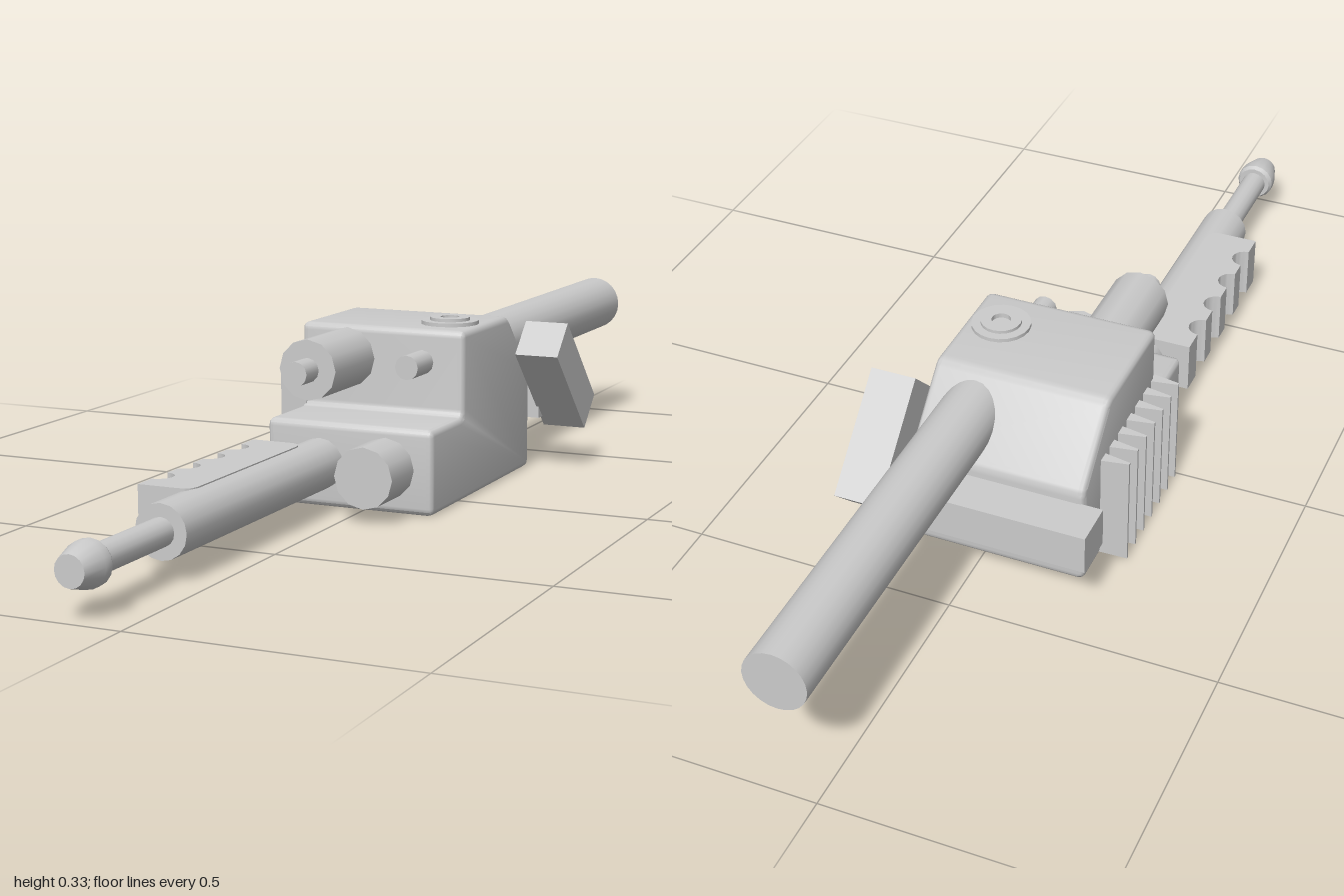
import * as THREE from 'three';
import { toCreasedNormals } from 'three/addons/utils/BufferGeometryUtils.js';

const grey = new THREE.MeshStandardMaterial({ color: 0xcccccc });

export function createModel() {
  const model = new THREE.Group();

  const add = (name, geometry, x = 0, y = 0, z = 0) => {
    const mesh = new THREE.Mesh(geometry, grey);
    mesh.name = name;
    mesh.position.set(x, y, z);
    model.add(mesh);
    return mesh;
  };

  // Cylinder running along z between two depths
  const rod = (name, x, y, z0, z1, r, sides = 12) => {
    const g = new THREE.CylinderGeometry(r, r, z1 - z0, sides);
    g.rotateX(Math.PI / 2);
    return add(name, g, x, y, (z0 + z1) / 2);
  };

  // Closed polygon with every corner rounded
  const roundedShape = (points, radius) => {
    const p = points.map(([a, b]) => new THREE.Vector2(a, b));
    const shape = new THREE.Shape();
    p.forEach((c, i) => {
      const prev = p[(i + p.length - 1) % p.length], next = p[(i + 1) % p.length];
      const a = c.clone().add(prev.clone().sub(c).setLength(radius));
      const b = c.clone().add(next.clone().sub(c).setLength(radius));
      if (i) shape.lineTo(a.x, a.y); else shape.moveTo(a.x, a.y);
      shape.quadraticCurveTo(c.x, c.y, b.x, b.y);
    });
    shape.closePath();
    return shape;
  };

  // Stepped housing: side profile (z, y) extruded across x with soft edges
  const bevel = 0.012;
  const profile = roundedShape([
    [0.148, 0], [0.148, 0.16], [0, 0.16], [0, 0.321], [-0.232, 0.321], [-0.352, 0.2], [-0.352, 0],
  ], 0.014);
  const housing = new THREE.ExtrudeGeometry(profile, {
    depth: 0.334 - 2 * bevel, bevelSize: bevel, bevelThickness: bevel,
    bevelOffset: -bevel, bevelSegments: 3, curveSegments: 4,
  });
  housing.rotateY(-Math.PI / 2);
  add('housing', toCreasedNormals(housing, 0.6), 0.139 - bevel, 0, 0);

  // Long rear tube
  rod('rearTube', 0.055, 0.248, -1, -0.15, 0.057, 24);

  // Knobs and pins on the front faces
  rod('upperKnob', -0.1, 0.259, -0.02, 0.17, 0.057);
  rod('upperKnobPin', -0.1, 0.259, 0.16, 0.22, 0.023);
  rod('frontPin', 0.055, 0.259, -0.02, 0.073, 0.023);
  rod('lowerKnob', 0.046, 0.084, 0.13, 0.245, 0.057);

  // Front arm with a slim rod and flared nozzle
  const ax = -0.087, ay = 0.082;
  rod('arm', ax, ay, 0.13, 0.73, 0.048, 16);
  rod('armRod', ax, ay, 0.72, 0.95, 0.025, 16);
  const nozzle = new THREE.LatheGeometry(
    [[0, 0], [0.034, 0], [0.039, 0.008], [0.039, 0.026], [0.027, 0.068], [0, 0.068]]
      .map(([r, h]) => new THREE.Vector2(r, h)), 16);
  nozzle.rotateX(Math.PI / 2);
  add('nozzle', toCreasedNormals(nozzle, 0.5), ax, ay, 0.932);

  // Grip with finger scallops along its outer side, outlined in (x, z)
  const grip = new THREE.Shape();
  const gx = -0.187, notch = 0.026;
  grip.moveTo(-0.115, 0.22);
  grip.quadraticCurveTo(-0.085, 0.22, -0.085, 0.25);
  grip.lineTo(-0.085, 0.605);
  grip.quadraticCurveTo(-0.085, 0.632, -0.112, 0.632);
  grip.lineTo(gx, 0.632);
  for (let i = 3; i >= 0; i--) {
    grip.absarc(gx, 0.293 + i * 0.089, notch, Math.PI / 2, -Math.PI / 2, true);
  }
  grip.lineTo(gx, 0.22);
  grip.closePath();
  const gripGeometry = new THREE.ExtrudeGeometry(grip, { depth: 0.101, bevelEnabled: false, curveSegments: 8 });
  gripGeometry.rotateX(Math.PI / 2);
  add('grip', toCreasedNormals(gripGeometry, 0.6), 0, 0.132, 0);

  // Row of tapered cooling fins on the right side
  const fin = new THREE.BoxGeometry(0.06, 0.218, 0.026);
  const fp = fin.attributes.position;
  for (let i = 0; i < fp.count; i++) {
    if (fp.getX(i) < 0) fp.setZ(i, fp.getZ(i) * 0.2);
    else if (fp.getY(i) < 0) fp.setY(i, fp.getY(i) + 0.008);
  }
  fin.computeVertexNormals();
  for (let i = 0; i < 7; i++) add('coolingFin', fin, -0.215, 0.109, -0.262 + i * 0.042);

  // Cross bar behind the housing and the tilted lever on its end
  add('rearBar', new THREE.BoxGeometry(0.39, 0.076, 0.085), -0.035, 0.138, -0.392);
  const lever = add('lever', new THREE.BoxGeometry(0.087, 0.238, 0.083), 0.199, 0.192, -0.339);
  lever.rotation.x = Math.PI / 4;

  // Stepped round button on top, with a sunken centre
  const button = new THREE.LatheGeometry(
    [[0.055, -0.01], [0.055, 0.007], [0.038, 0.007], [0.038, 0.013], [0.018, 0.013], [0.018, 0.004], [0, 0.004]]
      .map(([r, h]) => new THREE.Vector2(r, h)), 20);
  add('topButton', toCreasedNormals(button, 0.5), 0.072, 0.321, -0.095);

  return model;
}
